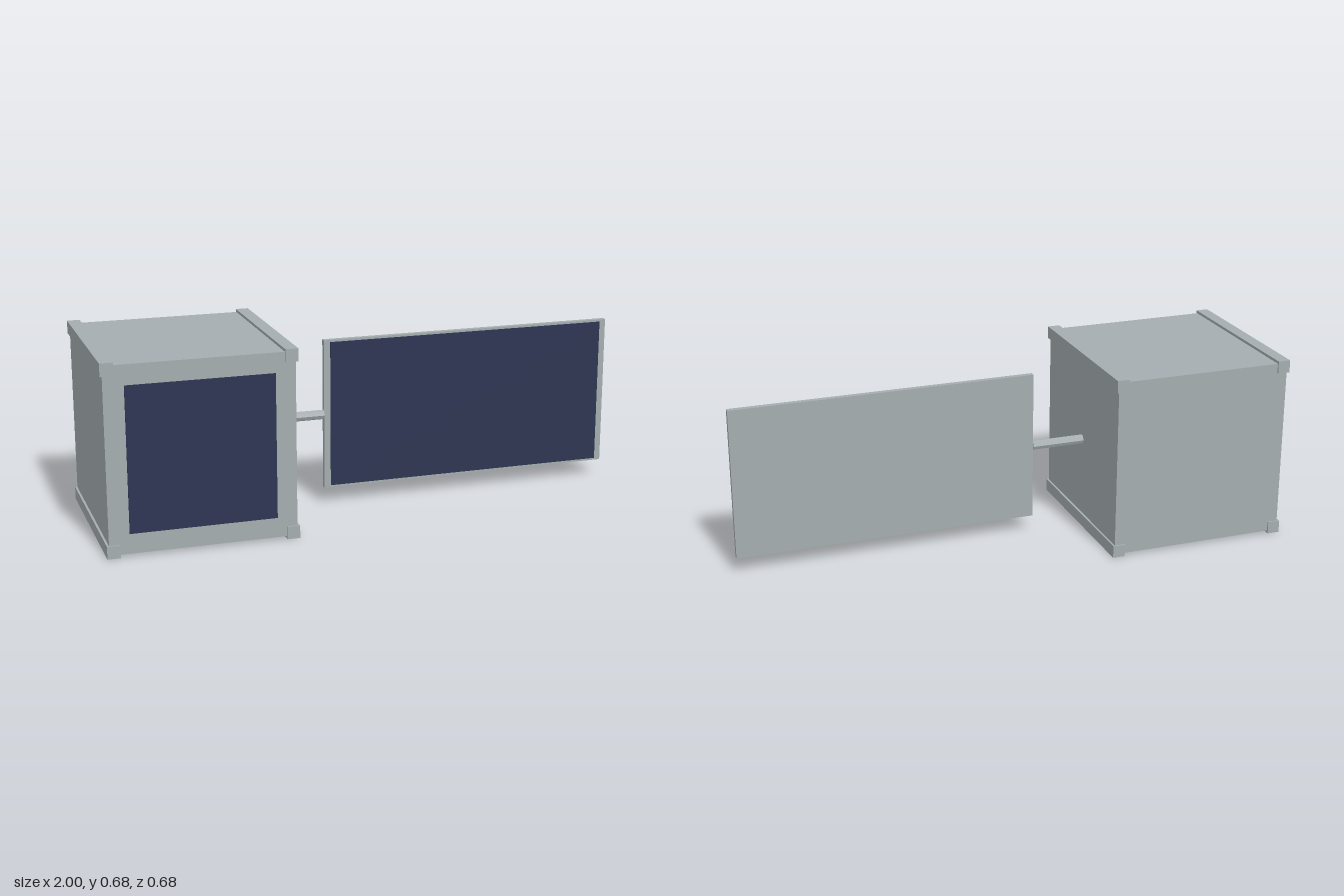
import * as THREE from 'three';

export function createModel() {
  const model = new THREE.Group();
  const metal = new THREE.MeshStandardMaterial({ color: 0xa5adb0 });
  metal.name = 'grey metal';
  metal.flatShading = true;
  const cells = new THREE.MeshStandardMaterial({ color: 0x2d3552 });
  cells.name = 'navy solar cells';

  const add = (name, geometry, material, x, y, z) => {
    const mesh = new THREE.Mesh(geometry, material);
    mesh.name = name;
    mesh.position.set(x, y, z);
    model.add(mesh);
    return mesh;
  };
  const box = (name, w, h, d, material, x, y, z) =>
    add(name, new THREE.BoxGeometry(w, h, d), material, x, y, z);

  const cx = -0.66, cy = 0.342;

  // Cube body with a solar cell plate on its front
  box('body', 0.664, 0.664, 0.664, metal, cx, cy, 0);
  box('bodySolarCells', 0.52, 0.52, 0.004, cells, cx, cy, 0.333);

  // Four corner rails running front to back
  for (const sx of [-1, 1]) {
    for (const sy of [-1, 1]) {
      box('cornerRail', 0.046, 0.046, 0.676, metal, cx + sx * 0.317, cy + sy * 0.319, 0);
    }
  }

  // Boom joining body and panel
  const boom = add('boom', new THREE.CylinderGeometry(0.018, 0.018, 0.21, 8), metal, -0.233, cy, 0);
  boom.rotation.z = Math.PI / 2;

  // Deployed panel with cells on the front
  box('panel', 1.128, 0.562, 0.02, metal, 0.436, cy, 0);
  box('panelSolarCells', 1.08, 0.546, 0.003, cells, 0.436, cy, 0.0105);

  return model;
}
